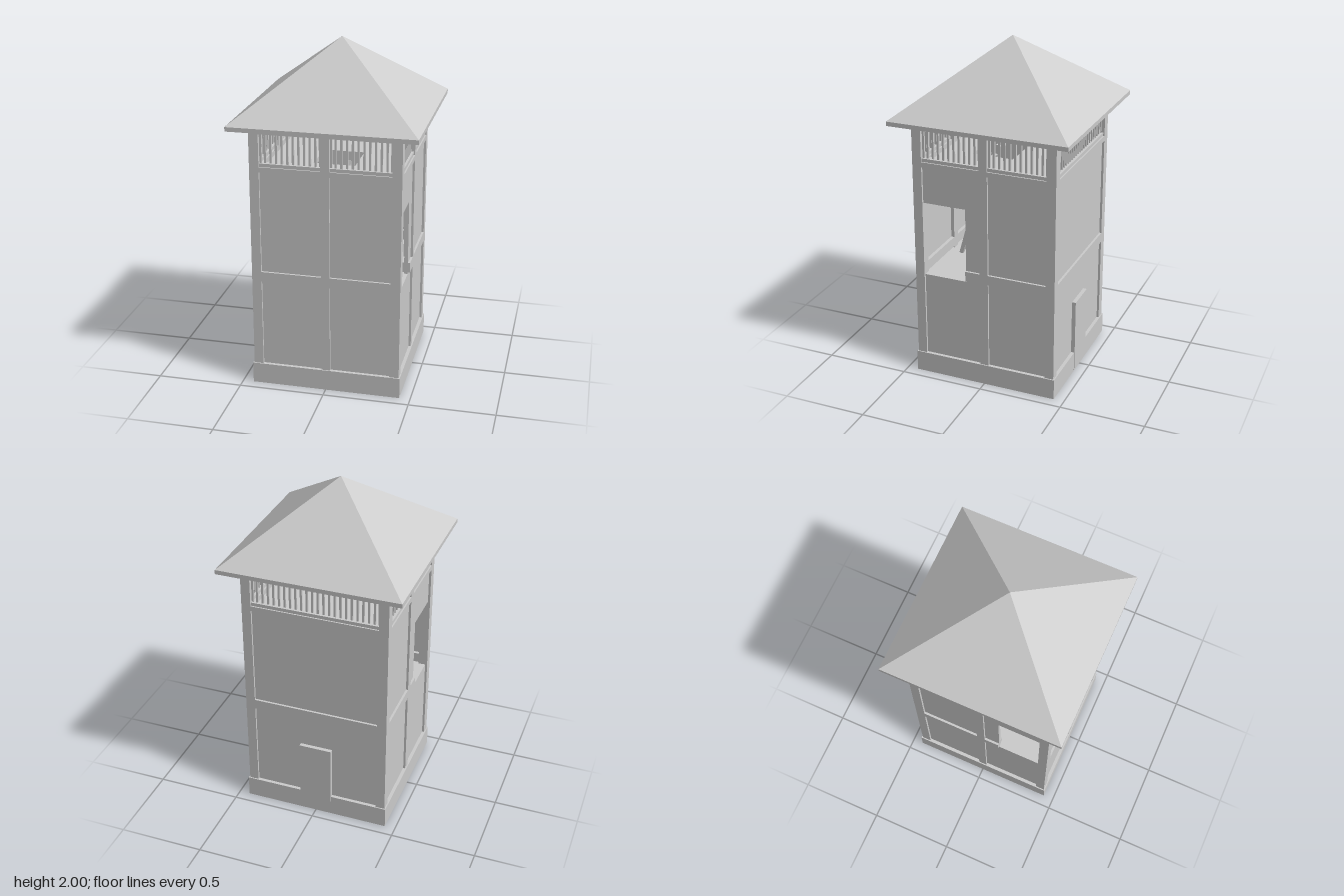
import * as THREE from 'three';

const grey = new THREE.MeshStandardMaterial({ color: 0xcccccc });
grey.name = 'plainGrey';

const POST = 0.43, INNER = 0.375, MID = 0.025;

// Box given by its extents on each axis
function box(parent, name, x0, x1, y0, y1, z0, z1) {
  const mesh = new THREE.Mesh(new THREE.BoxGeometry(Math.abs(x1 - x0), y1 - y0, z1 - z0), grey);
  mesh.position.set((x0 + x1) / 2, (y0 + y1) / 2, (z0 + z1) / 2);
  mesh.name = name;
  parent.add(mesh);
  return mesh;
}

// Horizontal slab with a square or rectangular hole
function slabWithHole(parent, name, half, hole, y0, y1) {
  const shape = new THREE.Shape([[-half, -half], [half, -half], [half, half], [-half, half]].map(p => new THREE.Vector2(...p)));
  const [x0, x1, z0, z1] = hole;
  shape.holes.push(new THREE.Path([[x0, -z1], [x0, -z0], [x1, -z0], [x1, -z1]].map(p => new THREE.Vector2(...p))));
  const geo = new THREE.ExtrudeGeometry(shape, { depth: y1 - y0, bevelEnabled: false });
  geo.rotateX(-Math.PI / 2);
  const mesh = new THREE.Mesh(geo, grey);
  mesh.position.y = y0;
  mesh.name = name;
  parent.add(mesh);
}

// Barred window between x0 and x1
function barredWindow(wall, x0, x1) {
  box(wall, 'windowSill', x0, x1, 1.34, 1.36, 0.385, 0.422);
  const n = Math.round((x1 - x0) / 0.032);
  const pitch = (x1 - x0) / n;
  for (let i = 0; i <= n; i++) {
    const x = Math.min(Math.max(x0 + i * pitch, x0 + 0.006), x1 - 0.006);
    box(wall, 'windowBar', x - 0.006, x + 0.006, 1.36, 1.53, 0.397, 0.409);
  }
}

// One wall, modelled facing +z; openingSide is 0, or the sign of x where the opening lies
function makeWall(name, angle, hasMiddlePost, openingSide) {
  const wall = new THREE.Group();
  wall.name = name;
  const back = 0.395, front = 0.417;
  const bays = hasMiddlePost ? [[-INNER, -MID], [MID, INNER]] : [[-INNER, INNER]];
  if (hasMiddlePost) box(wall, 'middlePost', -MID, MID, 0.1, 1.565, INNER, POST);
  box(wall, 'topBeam', -INNER, INNER, 1.53, 1.565, INNER, POST);
  box(wall, 'windowRail', -INNER, INNER, 1.31, 1.34, INNER, POST);
  for (const [x0, x1] of bays) {
    barredWindow(wall, x0, x1);
    if (openingSide !== 0 && Math.sign(x0 + x1) === openingSide) {
      // Bay with the large opening
      const s = openingSide;
      box(wall, 'lowerPanel', x0, x1, 0.1, 0.64, back, front);
      box(wall, 'openingHeader', x0, x1, 1.09, 1.32, back, front);
      box(wall, 'openingJamb', s * MID, s * 0.115, 0.64, 1.09, back, front);
      box(wall, 'middleRail', s * MID, s * 0.115, 0.65, 0.71, INNER, POST);
    } else {
      box(wall, 'wallPanel', x0, x1, 0.1, 1.32, back, front);
      box(wall, 'middleRail', x0, x1, 0.65, 0.71, INNER, POST);
    }
  }
  wall.rotation.y = angle;
  return wall;
}

// Leaning ladder rising from one floor to the next
function makeLadder(y0, rise) {
  const ladder = new THREE.Group();
  ladder.name = 'ladder';
  const run = 0.278 * rise, length = Math.hypot(rise, run);
  for (const s of [-1, 1]) box(ladder, 'ladderRail', s * 0.06, s * 0.08, 0, length, -0.012, 0.012);
  const rungs = 10;
  for (let i = 1; i <= rungs; i++) {
    const y = length * i / (rungs + 1);
    box(ladder, 'ladderRung', -0.06, 0.06, y - 0.008, y + 0.008, -0.01, 0.01);
  }
  ladder.rotation.x = -Math.atan2(run, rise);
  ladder.position.set(0, y0, 0.305);
  return ladder;
}

export function createModel() {
  const tower = new THREE.Group();
  tower.name = 'watchtower';

  // Hollow plinth
  slabWithHole(tower, 'plinth', 0.437, [-0.35, 0.35, -0.35, 0.35], 0, 0.125);

  // Corner posts
  for (const sx of [-1, 1]) for (const sz of [-1, 1]) {
    const c = (INNER + POST) / 2, h = (POST - INNER) / 2;
    box(tower, 'cornerPost', sx * c - h, sx * c + h, 0.1, 1.565, sz * c - h, sz * c + h);
  }

  // Walls
  tower.add(makeWall('frontWall', 0, true, 0));
  tower.add(makeWall('leftWall', Math.PI / 2, true, -1));
  tower.add(makeWall('rightWall', -Math.PI / 2, true, 1));
  const backWall = makeWall('backWall', Math.PI, false, 0);
  box(backWall, 'door', -0.097, 0.097, 0.005, 0.46, 0.4, 0.44);
  tower.add(backWall);

  // Floors with ladder hatches, and ladders
  for (const y of [0.64, 1.31]) slabWithHole(tower, 'floor', 0.396, [-0.12, 0.12, -0.05, 0.2], y - 0.03, y);
  tower.add(makeLadder(0.005, 0.635), makeLadder(0.64, 0.67));

  // Eaves and pyramid roof
  box(tower, 'eaves', -0.53, 0.53, 1.565, 1.59, -0.53, 0.53);
  const roofGeo = new THREE.ConeGeometry(0.53 * Math.SQRT2, 0.41, 4, 1, true).toNonIndexed();
  roofGeo.rotateY(Math.PI / 4);
  roofGeo.computeVertexNormals();
  const roof = new THREE.Mesh(roofGeo, grey);
  roof.position.y = 1.795;
  roof.name = 'roof';
  tower.add(roof);

  return tower;
}
